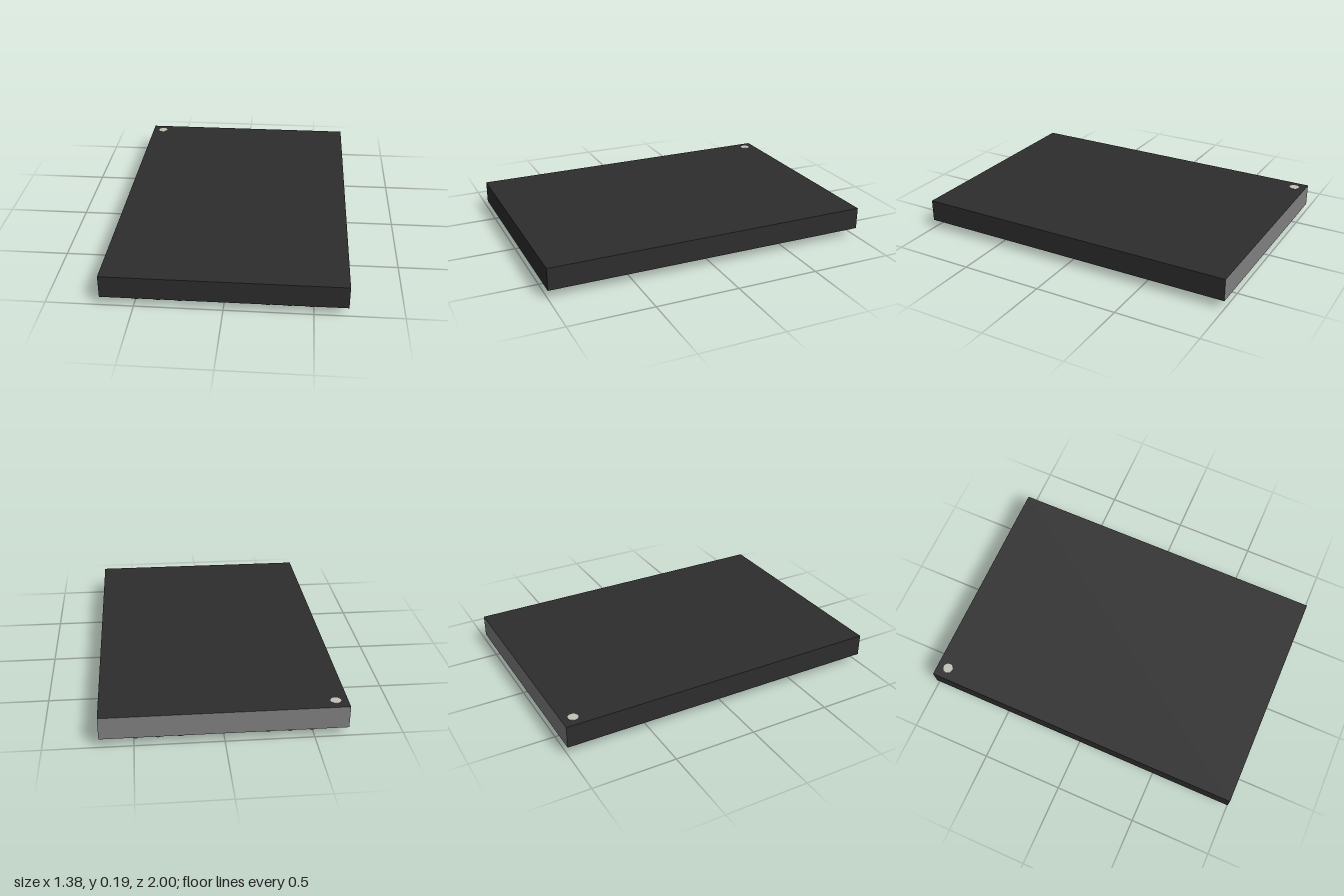
import * as THREE from 'three';

const casing = new THREE.MeshStandardMaterial({ color: 0x2d2d2d });
casing.name = 'black casing';
const endGrey = new THREE.MeshStandardMaterial({ color: 0x808080 });
endGrey.name = 'grey end face';
const solder = new THREE.MeshStandardMaterial({ color: 0xc4c2b9 });
solder.name = 'solder';

const WIDTH = 1.38, LENGTH = 2, BOTTOM = 0.053, TOP = 0.187;
const BALL_RADIUS = 0.031, PITCH = 0.123, ROWS = 16;

export function createModel() {
  const model = new THREE.Group();
  model.name = 'chipPackage';

  const add = (geometry, material, name, x, y, z, parent = model) => {
    const mesh = new THREE.Mesh(geometry, material);
    mesh.name = name;
    mesh.position.set(x, y, z);
    parent.add(mesh);
  };

  // Flat package body; only the back face (-z) is grey
  add(new THREE.BoxGeometry(WIDTH, TOP - BOTTOM, LENGTH),
    [casing, casing, casing, casing, casing, endGrey],
    'body', 0, (TOP + BOTTOM) / 2, 0);

  // Corner mark on the top face
  add(new THREE.CylinderGeometry(0.03, 0.03, 0.004, 32), solder,
    'cornerMark', -0.62, TOP, -0.93);

  // Solder balls: one full line per side, two extra columns at each end row
  const balls = new THREE.Group();
  balls.name = 'solderBalls';
  model.add(balls);
  const ball = new THREE.SphereGeometry(BALL_RADIUS, 24, 16);
  for (let row = 0; row < ROWS; row++) {
    const z = 0.001 + (row - (ROWS - 1) / 2) * PITCH;
    const columns = row === 0 || row === ROWS - 1 ? [4, 3, 2] : [4];
    for (const column of columns) {
      for (const side of [-1, 1]) {
        add(ball, solder, 'solderBall', -0.003 + side * column * PITCH, BALL_RADIUS, z, balls);
      }
    }
  }
  return model;
}
